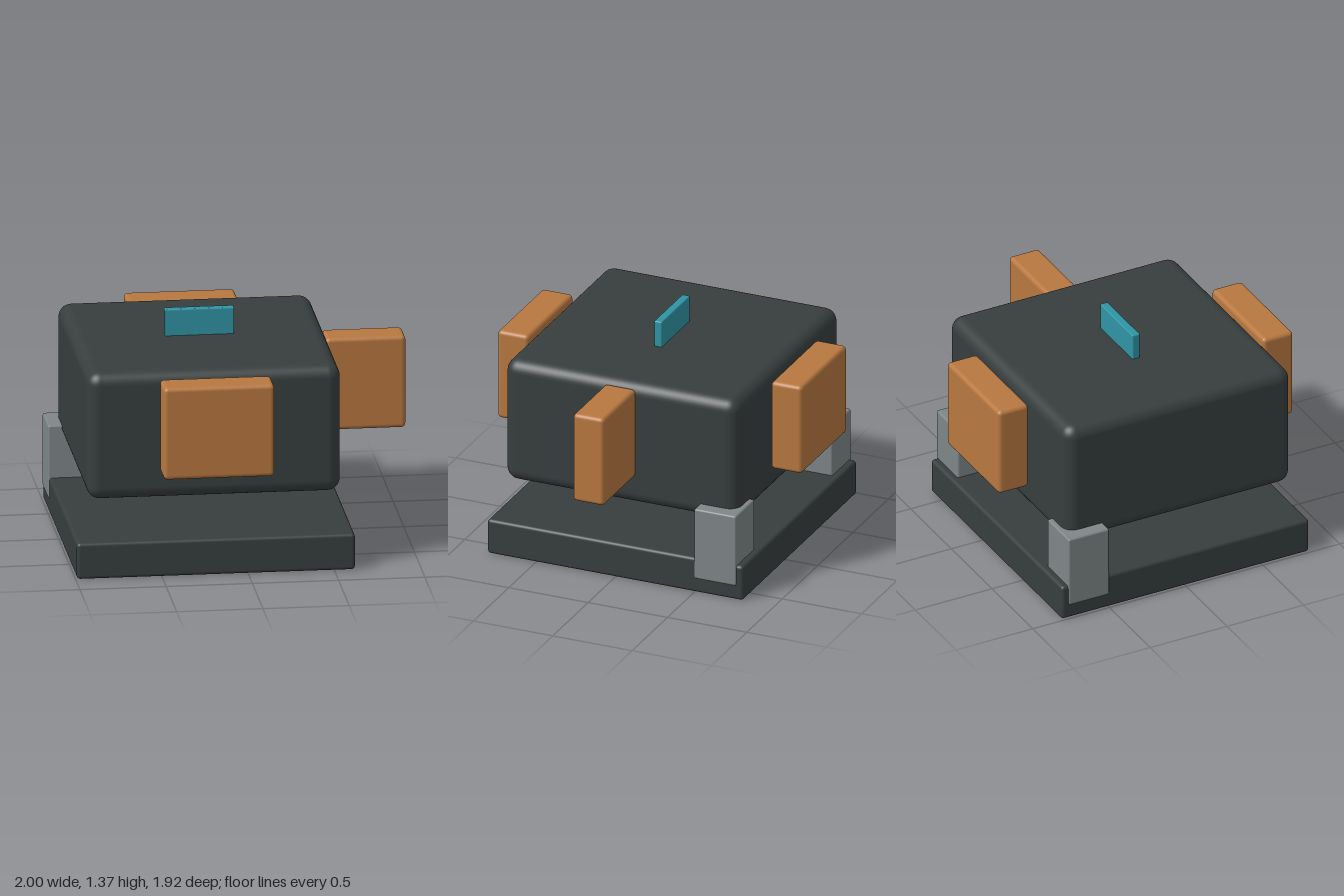
import * as THREE from 'three';
import { RoundedBoxGeometry } from 'three/addons/geometries/RoundedBoxGeometry.js';

function material(name, color) {
  const m = new THREE.MeshStandardMaterial({ color });
  m.name = name;
  return m;
}

export function createModel() {
  const model = new THREE.Group();
  model.name = 'model';

  const charcoal = material('charcoal', 0x373e3e);
  const copper = material('copper', 0xb87840);
  const grey = material('grey', 0x7e8688);
  const teal = material('teal', 0x2f94a4);

  // Rounded block given by its x, y and z ranges
  function block(name, mat, [x0, x1], [y0, y1], [z0, z1], radius) {
    const geometry = new RoundedBoxGeometry(x1 - x0, y1 - y0, z1 - z0, 4, radius);
    const mesh = new THREE.Mesh(geometry, mat);
    mesh.name = name;
    mesh.position.set((x0 + x1) / 2, (y0 + y1) / 2, (z0 + z1) / 2);
    model.add(mesh);
  }

  // Base slab and main body
  block('base', charcoal, [-0.992, 0.62], [0, 0.215], [-0.806, 0.806], 0.02);
  block('body', charcoal, [-0.92, 0.547], [0.445, 1.207], [-0.735, 0.735], 0.075);

  // Rear posts joining base and body
  block('rightPost', grey, [-1, -0.735], [0.09, 0.53], [-0.765, -0.5], 0.012);
  block('leftPost', grey, [0.363, 0.628], [0.09, 0.53], [-0.765, -0.5], 0.012);

  // Side pads: front, back and left
  const padY = [0.625, 1.177];
  block('frontPad', copper, [-0.508, 0.134], padY, [0.763, 0.96], 0.025);
  block('backPad', copper, [-0.508, 0.134], padY, [-0.96, -0.763], 0.025);
  block('leftPad', copper, [0.535, 1], padY, [-0.098, 0.098], 0.025);

  // Thin fin on top
  block('topFin', teal, [-0.387, 0.015], [1.2, 1.365], [-0.025, 0.025], 0.008);

  return model;
}
